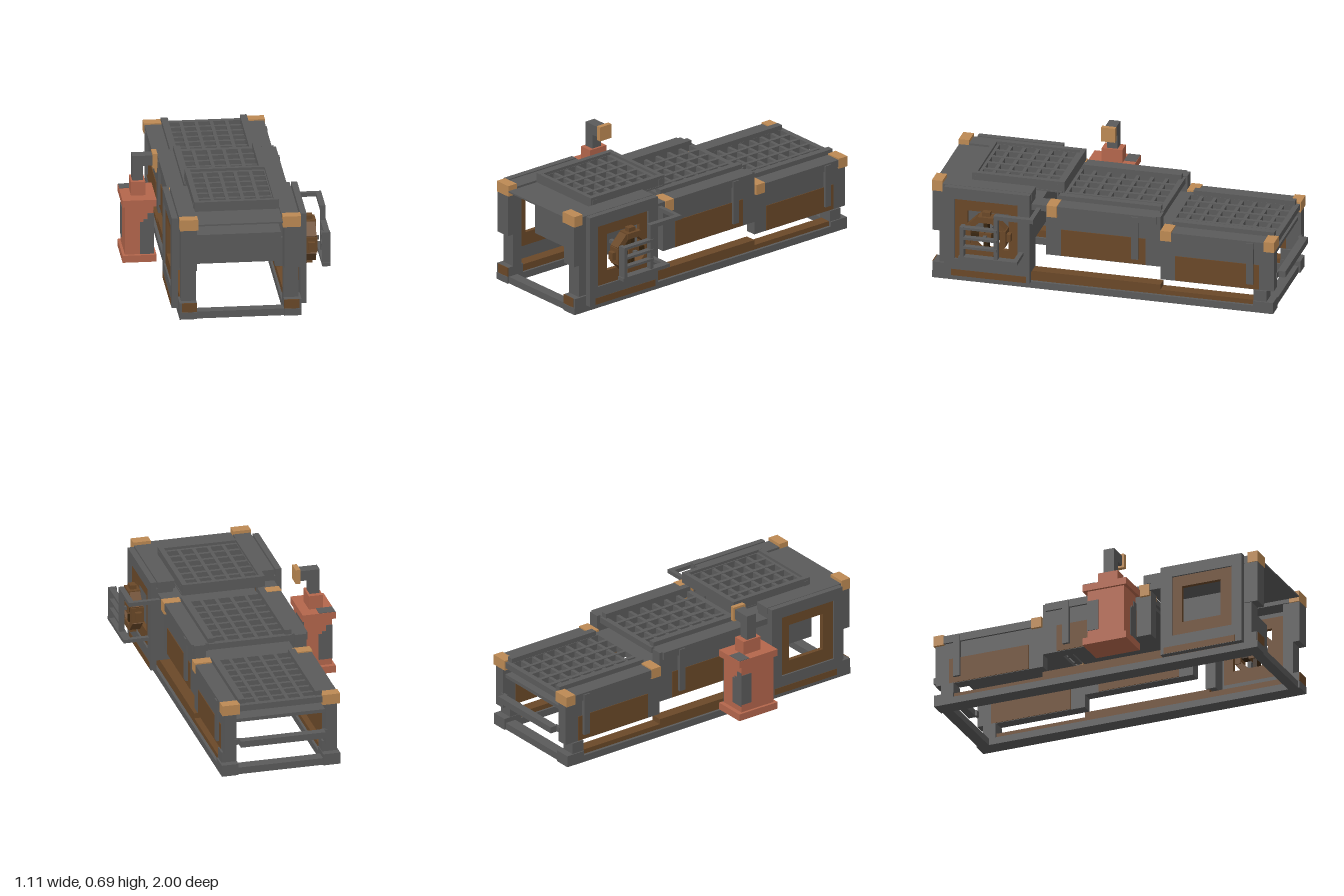
import * as THREE from 'three';

const mat = (name, color) => {
  const m = new THREE.MeshStandardMaterial({ color });
  m.name = name;
  return m;
};

export function createModel() {
  const root = new THREE.Group();
  root.name = 'machine';
  const steel = mat('steel grey', 0x5b5b5b);
  const brown = mat('rust brown', 0x6a4828);
  const dark = mat('dark brown', 0x38250f);
  const tan = mat('brass tan', 0xbd8a54);
  const red = mat('brick red', 0xb4664c);

  // box given by its limits on each axis
  const box = (name, m, x0, x1, y0, y1, z0, z1) => {
    const mesh = new THREE.Mesh(new THREE.BoxGeometry(x1 - x0, y1 - y0, z1 - z0), m);
    mesh.position.set((x0 + x1) / 2, (y0 + y1) / 2, (z0 + z1) / 2);
    mesh.name = name;
    root.add(mesh);
  };
  // the same box on both sides of the bed centre line
  const CX = 0.029;
  const pair = (name, m, x0, x1, ...r) => {
    box(name, m, x0, x1, ...r);
    box(name, m, 2 * CX - x1, 2 * CX - x0, ...r);
  };
  // rectangular frame in the yz plane, on both sides
  const framePair = (name, m, x0, x1, y0, y1, z0, z1, hy0, hy1, hz0, hz1) => {
    pair(name, m, x0, x1, y0, hy0, z0, z1);
    pair(name, m, x0, x1, hy1, y1, z0, z1);
    pair(name, m, x0, x1, hy0, hy1, z0, hz0);
    pair(name, m, x0, x1, hy0, hy1, hz1, z1);
  };

  // base frame
  pair('baseRail', steel, 0.272, 0.368, 0, 0.04, -0.955, 1);
  box('frontBaseBar', steel, -0.216, 0.272, 0, 0.04, 0.93, 0.99);
  box('backBaseBar', steel, -0.216, 0.272, 0, 0.04, -0.945, -0.88);
  pair('frontFoot', steel, 0.272, 0.368, 0.04, 0.095, 0.89, 0.996);
  pair('frontFootPlate', brown, 0.272, 0.356, 0.042, 0.095, 0.994, 1);
  pair('baseBeam', brown, 0.285, 0.352, 0.04, 0.08, 0.45, 0.89);
  pair('baseBeamMiddle', brown, 0.285, 0.352, 0.04, 0.097, -0.305, 0.45);
  pair('baseBeamBack', brown, 0.285, 0.352, 0.04, 0.067, -0.84, -0.305);
  pair('backFoot', steel, 0.272, 0.368, 0.04, 0.067, -0.955, -0.84);
  pair('backLeg', steel, 0.275, 0.36, 0.067, 0.13, -0.915, -0.84);

  // tall front section
  pair('frontPost', steel, 0.272, 0.356, 0.095, 0.53, 0.9, 0.96);
  pair('frontPostBlock', steel, 0.272, 0.362, 0.285, 0.525, 0.92, 0.998);
  pair('frontTopBeam', steel, 0.265, 0.362, 0.525, 0.57, 0.43, 0.94);
  pair('innerPost', steel, 0.275, 0.37, 0.097, 0.53, 0.43, 0.49);
  framePair('sidePanel', steel, 0.37, 0.404, 0.04, 0.572, 0.43, 0.92, 0.145, 0.505, 0.5, 0.86);
  framePair('sidePanelInset', brown, 0.37, 0.394, 0.145, 0.505, 0.5, 0.86, 0.222, 0.44, 0.555, 0.79);
  pair('sidePanelStripe', brown, 0.4, 0.4055, 0.042, 0.08, 0.45, 0.88);
  box('machineCore', steel, -0.217, 0.275, 0.25, 0.42, 0.44, 0.8);

  // middle and back sections: walls, painted panels and straps
  const section = (name, z0, z1, bottom, top, pz0, pz1, py1, sz) => {
    pair(name + 'Wall', steel, 0.285, 0.35, bottom, top, z0, z1);
    pair(name + 'TopBeam', steel, 0.265, 0.362, top - 0.045, top, z0 + 0.02, z1 - 0.02);
    pair(name + 'Panel', brown, 0.35, 0.354, bottom + 0.003, py1, pz0, pz1);
    pair(name + 'InnerPanel', brown, 0.281, 0.285, bottom + 0.003, py1, pz0, pz1);
    pair(name + 'Strap', steel, 0.35, 0.369, bottom + 0.035, top - 0.01, sz - 0.02, sz + 0.02);
    pair(name + 'Rim', steel, 0.23, 0.268, top, top + 0.027, z0 + 0.02, z1 - 0.05);
  };
  section('middle', -0.305, 0.35, 0.205, 0.505, -0.22, 0.265, 0.365, -0.16);
  section('back', -0.955, -0.305, 0.13, 0.422, -0.87, -0.39, 0.28, -0.82);
  pair('linkBeam', steel, 0.265, 0.362, 0.47, 0.505, 0.345, 0.435);

  // beds under the gratings
  box('middleFloor', steel, -0.227, 0.285, 0.39, 0.41, -0.305, 0.34);
  box('backFloor', steel, -0.227, 0.285, 0.315, 0.335, -0.94, -0.305);
  box('rearBar', steel, -0.215, 0.271, 0.185, 0.222, -1, -0.955);
  pair('rearBarBracket', steel, 0.255, 0.3, 0.187, 0.22, -0.96, -0.945);

  // corner caps
  const caps = [[0.94, 1, 0.525, 0.588], [0.285, 0.345, 0.44, 0.508],
    [-0.37, -0.308, 0.37, 0.43], [-0.96, -0.9, 0.37, 0.43]];
  for (const [z0, z1, y0, y1] of caps) pair('cornerCap', tan, 0.265, 0.366, y0, y1, z0, z1);

  // slatted gratings
  const grate = (name, z0, z1, y0, y1, rows) => {
    const x0 = -0.185, x1 = 0.24, b = 0.01;
    for (let i = 0; i <= 5; i++) {
      const x = x0 + (x1 - x0) * i / 5;
      box(name + 'LongSlat', steel, x - b, x + b, y0, y1, z0, z1);
    }
    for (let i = 0; i <= rows; i++) {
      const z = z0 + (z1 - z0) * i / rows;
      box(name + 'CrossSlat', steel, x0, x1, y0, y1 - 0.003, z - b, z + b);
    }
    for (const z of [z0, z1]) box(name + 'EndBar', steel, -0.21, 0.266, y0, y1, z - 0.015, z + 0.015);
  };
  grate('backGrate', -0.94, -0.325, 0.385, 0.42, 8);
  grate('middleGrate', -0.285, 0.29, 0.47, 0.505, 7);
  grate('frontGrate', 0.3, 0.77, 0.56, 0.598, 6);

  // raised front tray on its deck
  box('frontDeck', steel, -0.21, 0.268, 0.549, 0.558, 0.28, 0.998);
  pair('trayRim', steel, 0.236, 0.265, 0.55, 0.614, 0.268, 0.797);
  for (const z of [0.268, 0.772]) box('trayEnd', steel, -0.205, 0.263, 0.55, 0.613, z, z + 0.025);

  // valve wheel on the left side
  const wheel = new THREE.Group();
  wheel.name = 'valveWheel';
  wheel.position.set(0.445, 0.328, 0.665);
  root.add(wheel);
  for (let i = 0; i < 8; i++) {
    const arm = new THREE.Group();
    arm.rotation.x = i * Math.PI / 4;
    const add = (name, m, w, h, d, y) => {
      const mesh = new THREE.Mesh(new THREE.BoxGeometry(w, h, d), m);
      mesh.position.y = y;
      mesh.name = name;
      arm.add(mesh);
    };
    add('wheelRim', brown, i % 2 ? 0.06 : 0.07, 0.034, 0.09, 0.1);
    if (i % 2 === 0) {
      add('wheelLug', brown, 0.036, 0.035, 0.045, 0.123);
      add('wheelSpoke', dark, 0.05, 0.06, 0.025, 0.055);
    }
    wheel.add(arm);
  }
  box('wheelHub', brown, 0.41, 0.48, 0.303, 0.352, 0.63, 0.7);
  box('wheelAxle', steel, 0.275, 0.5, 0.318, 0.338, 0.655, 0.675);

  // guard rail around the wheel
  box('guardTopArm', steel, 0.365, 0.543, 0.467, 0.49, 0.375, 0.4);
  box('guardTopRail', steel, 0.512, 0.543, 0.467, 0.49, 0.4, 0.6);
  box('guardPost', steel, 0.515, 0.543, 0.21, 0.467, 0.577, 0.6);
  box('guardLowArm', steel, 0.4, 0.548, 0.206, 0.226, 0.465, 0.492);
  box('guardLowRail', steel, 0.505, 0.55, 0.206, 0.226, 0.492, 0.8);
  box('guardEndPost', steel, 0.505, 0.55, 0.226, 0.405, 0.77, 0.793);
  for (const y of [0.275, 0.33, 0.39]) box('guardSlat', steel, 0.515, 0.548, y, y + 0.014, 0.58, 0.775);

  // red tank with worn grey patches
  box('tankBody', red, -0.54, -0.38, 0.12, 0.42, 0.075, 0.295);
  box('tankBase', red, -0.555, -0.366, 0.083, 0.124, 0.05, 0.314);
  box('tankLid', red, -0.555, -0.366, 0.41, 0.45, 0.05, 0.314);
  box('tankNeck', red, -0.5, -0.42, 0.45, 0.53, 0.12, 0.238);
  const patches = [[-0.456, -0.438, 0.315], [-0.438, -0.415, 0.33], [-0.415, -0.379, 0.365]];
  for (const [x0, x1, y1] of patches) {
    box('tankFrontPatch', steel, x0, x1, 0.125, y1, 0.295, 0.299);
    box('tankBackPatch', steel, -0.92 - x1, -0.92 - x0, 0.16, y1, 0.071, 0.075);
  }
  box('tankSidePatch', steel, -0.38, -0.376, 0.125, 0.4, 0.075, 0.23);
  box('tankOuterPatch', steel, -0.544, -0.54, 0.17, 0.35, 0.075, 0.14);
  box('tankLidPatch', steel, -0.553, -0.46, 0.45, 0.453, 0.052, 0.12);

  // outlet pipe
  box('outletPipe', steel, -0.49, -0.432, 0.53, 0.674, 0.15, 0.212);
  box('outletElbow', steel, -0.432, -0.376, 0.614, 0.674, 0.15, 0.212);
  box('outletCap', tan, -0.378, -0.351, 0.602, 0.686, 0.143, 0.223);

  return root;
}
